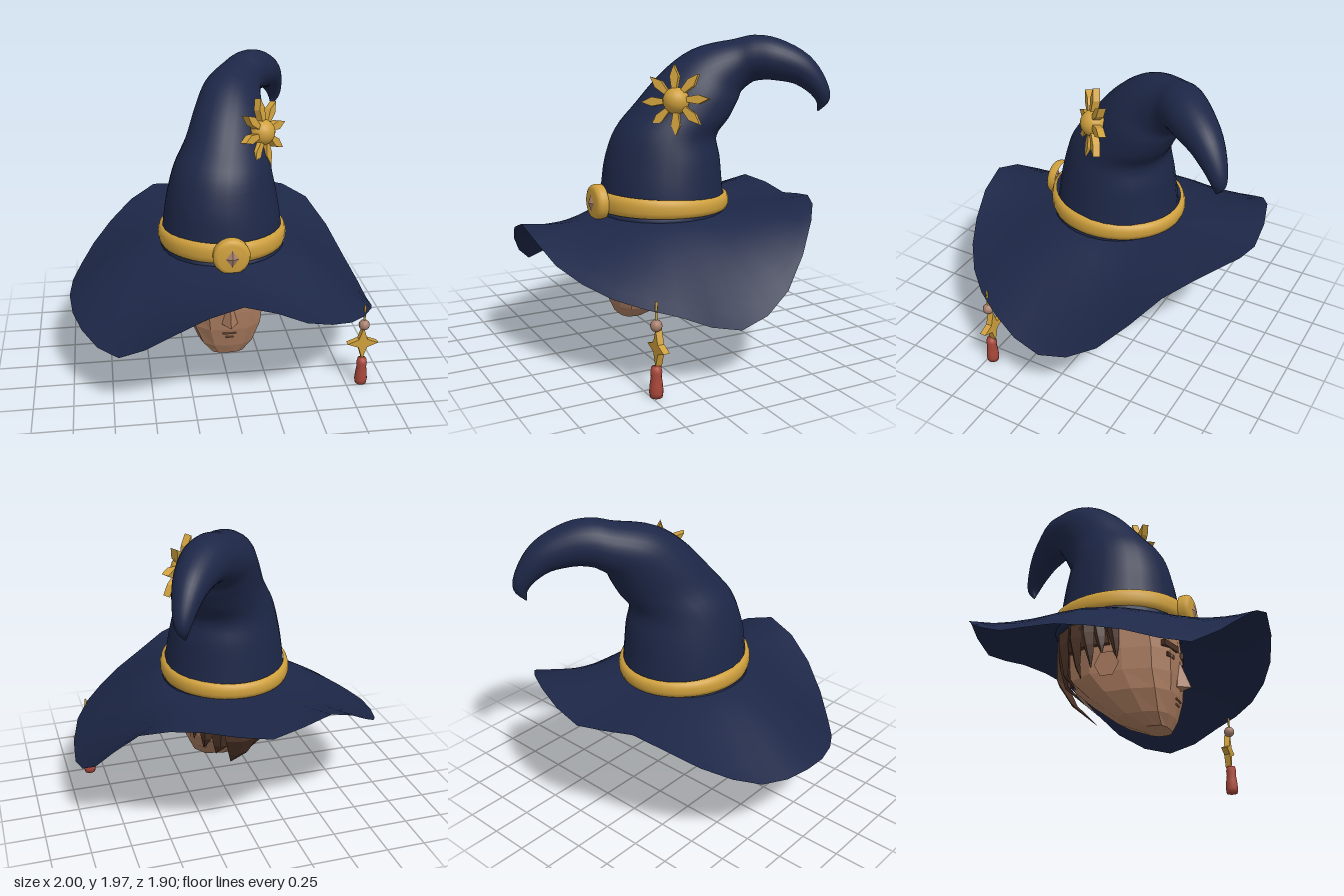
import * as THREE from 'three';

const mat = (name, color, side = THREE.FrontSide) => {
  const m = new THREE.MeshStandardMaterial({ color, side });
  m.name = name;
  return m;
};
const V = (x, y, z) => new THREE.Vector3(x, y, z);
const lerp = THREE.MathUtils.lerp;

// Skin closed rings of points (ordered bottom to top) into one surface
function loft(rings, flat = false) {
  const n = rings[0].length, idx = [];
  for (let i = 0; i < rings.length - 1; i++) {
    for (let j = 0; j < n; j++) {
      const k = (j + 1) % n, a = i * n + j, b = i * n + k;
      idx.push(a, b, a + n, b, b + n, a + n);
    }
  }
  let g = new THREE.BufferGeometry().setFromPoints(rings.flat());
  g.setIndex(idx);
  if (flat) g = g.toNonIndexed();
  g.computeVertexNormals();
  return g;
}
const flatten = (g) => {
  const f = g.index ? g.toNonIndexed() : g;
  f.computeVertexNormals();
  return f;
};
// Ring of n points; f maps the angle (0 = front, then towards +x) to a point
const ring = (n, f) => Array.from({ length: n }, (_, j) => f(j / n * Math.PI * 2));
const curve = (points, closed = false) => new THREE.CatmullRomCurve3(points, closed, 'catmullrom', 0.5);
// Complete a half outline of [x, z] pairs by mirroring it
const mirror = (half) => [...half, ...half.slice(1, -1).reverse().map(([x, z]) => [-x, z])];

export function createModel() {
  const model = new THREE.Group();
  model.name = 'wizardHatHead';
  const navy = mat('navyFelt', 0x1d2747, THREE.DoubleSide);
  const gold = mat('gold', 0xcfa03d);
  const skin = mat('skin', 0xa87a5e);
  const hair = mat('brownHair', 0x4a3226);
  const stone = mat('roseStone', 0xa67f6c);
  const red = mat('redTassel', 0xa8473a);
  const lip = mat('lipLine', 0x8a5f49);
  const add = (name, geo, m, pos = [0, 0, 0], parent = model) => {
    const mesh = new THREE.Mesh(geo, m);
    mesh.name = name;
    mesh.position.set(...pos);
    parent.add(mesh);
    return mesh;
  };

  // Wavy brim: rim heights every 22.5 degrees, from the front towards +x
  const heights = [.87, .7, .565, .48, .365, .52, .86, .935, .87, .935, .75, .57, .52, .46, .43, .68];
  const rim = curve(heights.map((h) => V(0, h, 0)), true);
  const brim = [];
  for (let i = 10; i >= 0; i--) {
    const t = i / 10;
    brim.push(ring(32, (a) => {
      const h = rim.getPoint(a / (Math.PI * 2)).y;
      const y = .875 + (h - .875) * Math.pow(t, 1.5) - .03 * Math.sin(Math.PI * t) * Math.max(0, Math.cos(a));
      return V(Math.sin(a) * (.36 + .64 * t), y, Math.cos(a) * (.38 + .57 * t));
    }));
  }
  add('brim', loft(brim), navy);

  // Crown: bent cone of tilted oval sections (x, y, z, half width, half depth, pitch in degrees)
  const sections = [
    [0, .86, 0, .39, .41, 0], [0, 1.03, 0, .373, .39, 0], [0, 1.2, -.005, .343, .37, 0],
    [.01, 1.365, -.025, .305, .325, 4], [.055, 1.5, -.115, .26, .3, 9], [.09, 1.645, -.22, .228, .258, 20],
    [.12, 1.75, -.33, .192, .205, 38], [.185, 1.805, -.47, .152, .15, 64], [.25, 1.83, -.55, .14, .143, 80],
    [.33, 1.82, -.64, .128, .13, 95], [.42, 1.76, -.765, .1, .1, 120], [.475, 1.66, -.85, .068, .068, 145],
    [.495, 1.57, -.885, .04, .043, 172], [.475, 1.5, -.865, .004, .004, 195],
  ];
  const spine = curve(sections.map(([x, y, z]) => V(x, y, z)));
  const shape = curve(sections.map(([, , , w, d, pitch]) => V(w, d, pitch * Math.PI / 180)));
  const yaw = .65, side = V(Math.cos(yaw), 0, Math.sin(yaw)), crown = [];
  for (let i = 0; i <= 52; i++) {
    const c = spine.getPoint(i / 52), s = shape.getPoint(i / 52);
    const normal = V(Math.sin(s.z) * Math.sin(yaw), Math.cos(s.z), -Math.sin(s.z) * Math.cos(yaw));
    const front = side.clone().cross(normal);
    crown.push(ring(28, (a) => c.clone().addScaledVector(side, Math.sin(a) * s.x).addScaledVector(front, Math.cos(a) * s.y)));
  }
  add('crown', loft(crown), navy);
  const opening = add('innerLip', new THREE.TorusGeometry(.375, .025, 8, 32), navy, [0, .865, 0]);
  opening.rotation.x = Math.PI / 2;
  opening.scale.y = 1.05;

  // Hat band, taller and higher at the front
  const bandProfile = [[.375, -1], [.402, -.95], [.412, -.4], [.412, .3], [.402, .85], [.38, 1]];
  add('hatBand', loft(bandProfile.map(([r, h]) => ring(40, (a) => {
    const c = Math.cos(a);
    return V(Math.sin(a) * r, .938 + .014 * c + h * (.055 + .008 * c), c * (r + .025));
  }))), gold);

  // Rounded buckle with a faceted stone
  const buckleProfile = [[.112, -.035], [.115, .005], [.107, .025], [.085, .036], [0, .04]];
  const buckle = add('buckle', new THREE.LatheGeometry(buckleProfile.map(([x, y]) => new THREE.Vector2(x, y)), 28), gold, [0, .95, .455]);
  buckle.rotation.x = Math.PI / 2;
  add('buckleStone', flatten(new THREE.OctahedronGeometry(1)), stone, [0, .95, .487]).scale.set(.054, .072, .025);

  // Sun brooch: dome and eight pointed rays
  const sun = new THREE.Group();
  sun.name = 'sunBrooch';
  sun.position.set(.25, 1.59, .03);
  sun.lookAt(.95, 1.74, .73);
  sun.rotateZ(.12);
  model.add(sun);
  add('sunDome', new THREE.SphereGeometry(.082, 20, 14), gold, [0, 0, 0], sun);
  const rayShape = new THREE.Shape([[-.015, .07], [.015, .07], [.034, .145], [.008, .215], [-.022, .15]].map(([x, y]) => new THREE.Vector2(x, y)));
  const rayGeo = new THREE.ExtrudeGeometry(rayShape, { depth: .045, bevelEnabled: false });
  for (let i = 0; i < 8; i++) {
    add('sunRay', rayGeo, gold, [0, 0, -.015], sun).rotation.z = i * Math.PI / 4;
  }

  // Hanging charm: cord, bead, four-pointed star, tassel
  const charm = new THREE.Group();
  charm.name = 'charm';
  charm.position.set(.85, 0, .47);
  model.add(charm);
  add('cord', new THREE.CylinderGeometry(.007, .007, .17, 6), gold, [0, .48, 0], charm);
  add('bead', new THREE.SphereGeometry(.035, 14, 10), stone, [0, .425, 0], charm);
  const star = new THREE.Shape(Array.from({ length: 8 }, (_, i) => {
    const r = i % 2 ? .04 : (i % 4 ? .115 : .1), a = i * Math.PI / 4;
    return new THREE.Vector2(Math.cos(a) * r, Math.sin(a) * r);
  }));
  add('charmStar', new THREE.ExtrudeGeometry(star, { depth: .04, bevelEnabled: false }), gold, [0, .29, -.035], charm);
  const tassel = [[0, 0], [.036, 0], [.041, .03], [.037, .08], [.031, .12], [.034, .15], [.028, .18], [0, .187]];
  add('tassel', new THREE.LatheGeometry(tassel.map(([x, y]) => new THREE.Vector2(x, y)), 14), red, [0, 0, 0], charm);

  // Faceted head: one outline scaled per level (y, centre z, half width, half depth)
  const outline = mirror([[0, 1], [.5, .95], [.87, .7], [1, .2], [1, -.4], [.7, -.85], [0, -1]]);
  const levels = [
    [.2, .24, 0, 0], [.2, .24, .11, .08], [.27, .17, .18, .18], [.4, .1, .24, .28], [.52, .04, .26, .35],
    [.66, .03, .262, .36], [.84, 0, .255, .37], [1, 0, .2, .28], [1, 0, 0, 0],
  ];
  add('head', loft(levels.map(([y, cz, w, d]) => outline.map(([x, z]) => V(x * w, y, cz + z * d))), true), skin);

  // Face
  const nose = add('nose', flatten(new THREE.ConeGeometry(.05, .19, 4)), skin, [0, .545, .385]);
  nose.scale.z = 1.5;
  add('upperLip', new THREE.BoxGeometry(.09, .008, .01), lip, [0, .375, .376]);
  add('lowerLip', new THREE.BoxGeometry(.05, .008, .01), lip, [0, .345, .37]);
  for (const s of [1, -1]) {
    const brow = add('eyebrow', new THREE.BoxGeometry(.14, .038, .03), hair, [s * .115, .69, .366]);
    brow.rotation.set(0, s * .3, s * .06);
    const eye = add('eye', new THREE.BoxGeometry(.078, .028, .01), hair, [s * .12, .625, .37]);
    eye.rotation.y = s * .2;
    add('iris', new THREE.BoxGeometry(.022, .016, .004), stone, [0, -.002, .006], eye);
    const ear = add('ear', flatten(new THREE.CylinderGeometry(.08, .055, .04, 6)), skin, [s * .27, .56, .02]);
    ear.rotation.z = Math.PI / 2 * -s;
    ear.scale.x = 1.1;
  }

  // Hair cap over the back of the head, its front buried in the skull
  const capOutline = mirror([[0, 0], [1, 0], [1, -.4], [.72, -.85], [0, -1]]);
  const capLevels = [[.68, .03, .24, .34], [.7, .03, .275, .385], [.84, 0, .275, .395], [.98, 0, .22, .31]];
  add('hairCap', loft(capLevels.map(([y, cz, w, d]) => capOutline.map(([x, z]) => V(x * w, y, cz + z * d))), true), hair);

  // Hair: pointed locks that follow the skull, longest at the nape
  const headAt = (y) => {
    const i = levels.findIndex((l, k) => k > 1 && l[0] >= y), a = levels[i - 1], b = levels[i];
    return a.map((v, k) => lerp(v, b[k], (y - a[0]) / (b[0] - a[0])));
  };
  const lock = (x, z, tipY, width, lift) => {
    const out = V(x, 0, z).normalize(), across = V(out.z, 0, -out.x), rings = [];
    for (const s of [1, .75, .5, .25, 0]) {
      const [y, cz, w, d] = headAt(lerp(.86, tipY, s));
      const c = V(x * w, y, cz + z * d).addScaledVector(out, lerp(.01, lift, s));
      const half = Math.max(.002, width * (1 - s * s)), thick = Math.max(.002, .04 * (1 - s * s));
      rings.push([out, across, out.clone().negate(), across.clone().negate()]
        .map((dir, k) => c.clone().addScaledVector(dir, k % 2 ? half : thick)));
    }
    add('hairLock', loft(rings, true), hair);
  };
  for (const s of [1, -1]) {
    [[1, .12, .58, .04, .02], [1, -.12, .63, .045, .02], [1, -.33, .55, .055, .02], [.88, -.58, .5, .065, .03],
      [.7, -.83, .45, .08, .04], [.38, -.92, .38, .1, .06]].forEach(([x, ...rest]) => lock(s * x, ...rest));
  }
  lock(0, -1, .28, .14, .13);
  return model;
}
